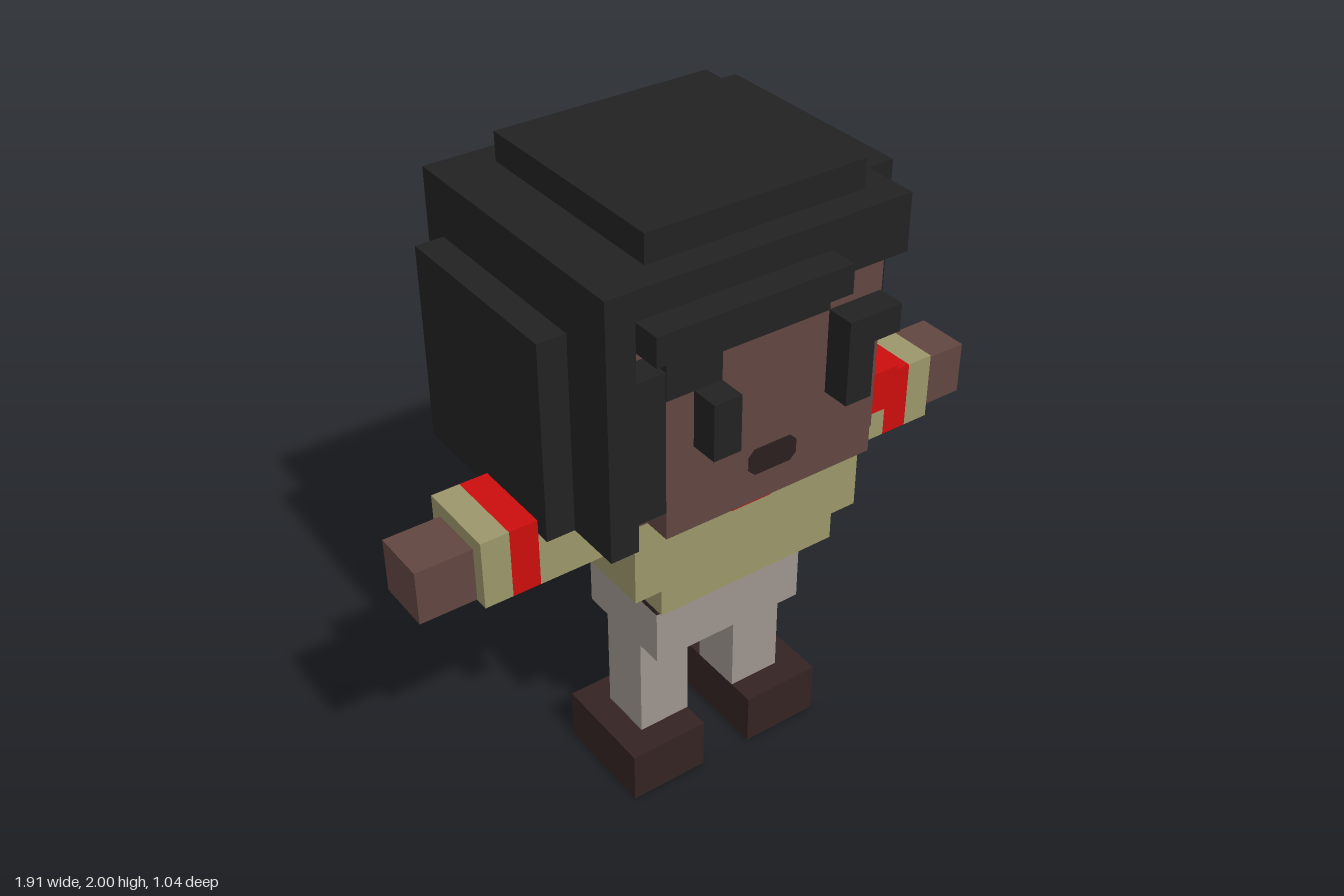
import * as THREE from 'three';

const paint = (name, color) => {
  const m = new THREE.MeshStandardMaterial({ color });
  m.name = name;
  return m;
};

export function createModel() {
  const hair = paint('hair black', 0x222222);
  const skin = paint('skin brown', 0x614640);
  const red = paint('red', 0xcc0d0d);
  const shirt = paint('shirt olive', 0x9b966a);
  const cloth = paint('trouser grey', 0x9d958e);
  const leather = paint('dark leather', 0x352323);
  const lip = paint('mouth dark', 0x2a1f1d);

  const model = new THREE.Group();
  model.name = 'blockFigure';

  // Box given by its extents on each axis
  const block = (name, mat, [x0, x1], [y0, y1], [z0, z1]) => {
    const mesh = new THREE.Mesh(new THREE.BoxGeometry(x1 - x0, y1 - y0, z1 - z0), mat);
    mesh.position.set((x0 + x1) / 2, (y0 + y1) / 2, (z0 + z1) / 2);
    mesh.name = name;
    model.add(mesh);
  };
  // Same box on both sides
  const pair = (name, mat, [x0, x1], y, z) => {
    block(name + 'Left', mat, [x0, x1], y, z);
    block(name + 'Right', mat, [-x1, -x0], y, z);
  };
  // Thin plate with clipped corners facing forward
  const plate = (name, mat, w, y0, y1, z, topCut, cut) => {
    const s = new THREE.Shape([
      [-w + cut, y0], [w - cut, y0], [w, y0 + cut], [w, y1 - topCut],
      [w - topCut, y1], [-w + topCut, y1], [-w, y1 - topCut], [-w, y0 + cut],
    ].map(([x, y]) => new THREE.Vector2(x, y)));
    const mesh = new THREE.Mesh(new THREE.ExtrudeGeometry(s, { depth: 0.006, bevelEnabled: false }), mat);
    mesh.position.z = z;
    mesh.name = name;
    model.add(mesh);
  };

  // Shoes, legs, hips and belt
  pair('shoe', leather, [0.087, 0.348], [0, 0.174], [-0.087, 0.261]);
  pair('leg', cloth, [0.087, 0.261], [0.174, 0.522], [0, 0.174]);
  block('hips', cloth, [-0.261, 0.261], [0.522, 0.7], [-0.087, 0.261]);
  block('belt', leather, [-0.261, 0.261], [0.7, 0.783], [-0.087, 0.261]);
  block('beltFront', cloth, [-0.09, 0.09], [0.7, 0.783], [0.259, 0.265]);

  // Shirt
  block('shirtHem', shirt, [-0.304, 0.304], [0.783, 0.87], [-0.174, 0.348]);
  block('torso', shirt, [-0.391, 0.391], [0.87, 1.13], [-0.174, 0.348]);
  plate('neckerchief', red, 0.085, 1.047, 1.13, 0.346, 0.002, 0.018);

  // Arms
  const sleeveY = [0.957, 1.174], sleeveZ = [-0.043, 0.217];
  pair('sleeve', shirt, [0.391, 0.609], sleeveY, sleeveZ);
  pair('sleeveBand', red, [0.609, 0.696], sleeveY, sleeveZ);
  pair('cuff', shirt, [0.696, 0.783], sleeveY, sleeveZ);
  pair('hand', skin, [0.783, 0.957], [0.959, 1.13], [0, 0.174]);
  block('shoulderPad', red, [0.43, 0.565], [1.13, 1.265], [-0.13, 0.304]);

  // Head
  block('head', skin, [-0.435, 0.435], [1.13, 1.74], [-0.348, 0.348]);
  block('face', skin, [-0.348, 0.348], [1.13, 1.74], [0.348, 0.435]);
  block('ear', skin, [0.435, 0.52], [1.217, 1.4], [0, 0.174]);
  plate('mouth', lip, 0.08, 1.22, 1.302, 0.433, 0.02, 0.02);

  // Eyes and brow
  pair('eye', hair, [0.174, 0.261], [1.395, 1.567], [0.43, 0.522]);
  block('brow', hair, [0.174, 0.348], [1.567, 1.652], [0.43, 0.522]);

  // Crown of the hair
  block('hairTop', hair, [-0.348, 0.348], [1.913, 2], [-0.348, 0.348]);
  block('hairCap', hair, [-0.522, 0.435], [1.74, 1.913], [-0.435, 0.435]);

  // Fringe
  block('fringeRoll', hair, [-0.435, 0.174], [1.74, 1.827], [0.43, 0.522]);
  block('fringe', hair, [-0.348, 0.174], [1.652, 1.74], [0.4, 0.438]);
  block('fringeStep', hair, [-0.348, -0.174], [1.567, 1.652], [0.4, 0.438]);
  block('fringeLock', hair, [-0.435, -0.348], [1.217, 1.652], [0.348, 0.435]);

  // Side hair, short on the left and long on the right
  block('hairSideLeft', hair, [0.435, 0.522], [1.395, 1.913], [-0.435, 0.261]);
  block('hairSideRight', hair, [-0.522, -0.435], [1.13, 1.74], [-0.435, 0.435]);
  block('hairPanelRight', hair, [-0.609, -0.522], [1.13, 1.74], [-0.348, 0.261]);

  // Back hair
  block('hairBack', hair, [-0.435, 0.435], [1.13, 1.74], [-0.435, -0.348]);
  block('hairPanelBack', hair, [-0.348, 0.348], [1.047, 1.74], [-0.522, -0.348]);

  return model;
}
